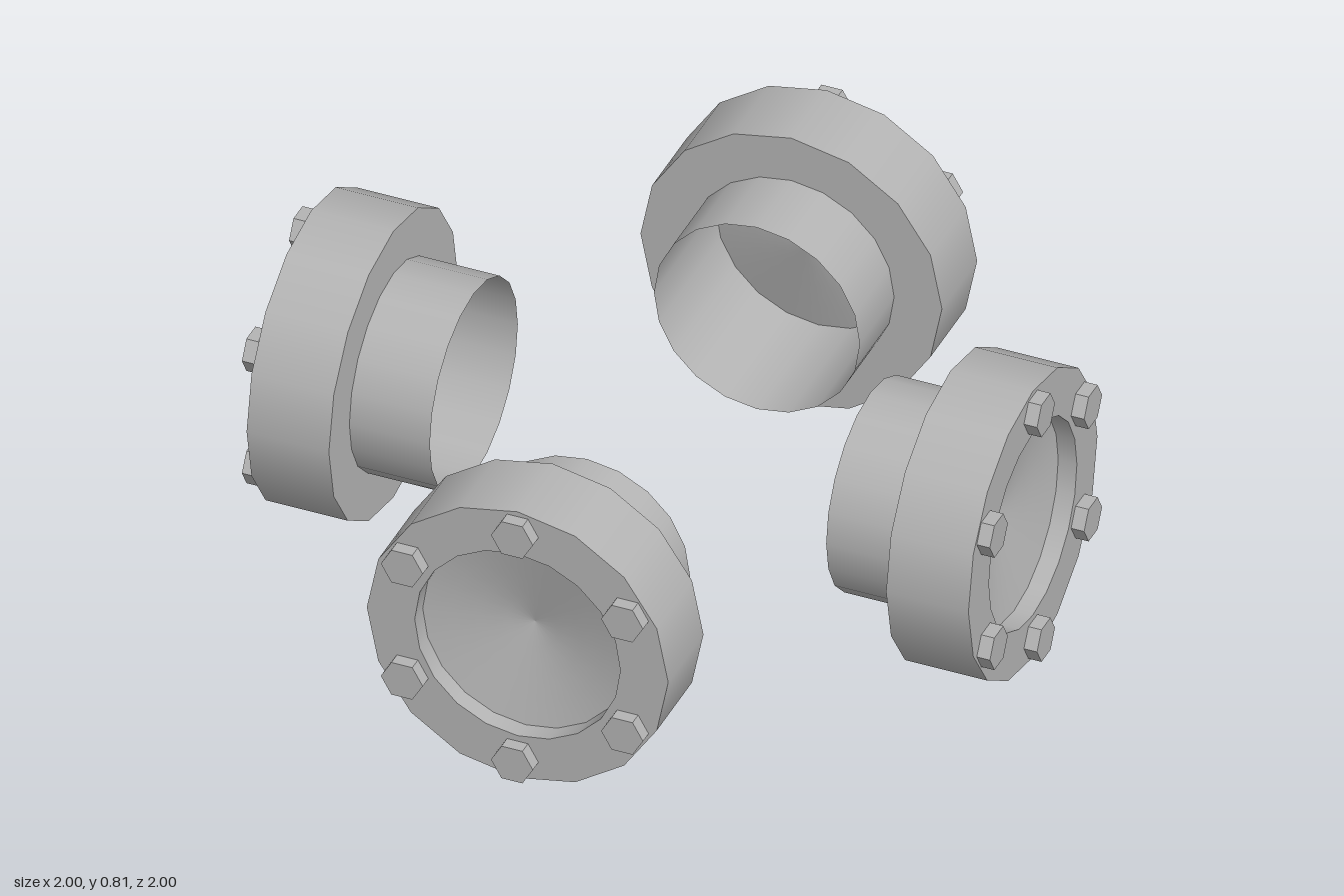
import * as THREE from 'three';
import { toCreasedNormals } from 'three/addons/utils/BufferGeometryUtils.js';

const R = 0.403;          // flange radius, also the height of every axis
const BORE = 0.275;       // neck and bore radius
const BACK = 0.745, FACE = 0.965, NECK_END = 0.53, RECESS = 0.915;
const RIM_SIDES = 16, BORE_SIDES = 20;

// Regular polygon with a corner straight up
function polygon(radius, sides) {
  return Array.from({ length: sides }, (_, i) => {
    const a = Math.PI / 2 + (i / sides) * Math.PI * 2;
    return new THREE.Vector2(Math.cos(a) * radius, Math.sin(a) * radius);
  });
}

// Open tube along z between two positions
function tube(radius, sides, z0, z1) {
  return new THREE.CylinderGeometry(radius, radius, z1 - z0, sides, 1, true)
    .rotateX(Math.PI / 2).translate(0, 0, (z0 + z1) / 2);
}

export function createModel() {
  const steel = new THREE.MeshStandardMaterial({ color: 0xb4b4b4 });
  steel.name = 'steel';
  const thinSteel = steel.clone();
  thinSteel.name = 'thin steel';
  thinSteel.side = THREE.DoubleSide;

  // Flat ring shared by the flange's outer and inner faces
  const ringShape = new THREE.Shape(polygon(R, RIM_SIDES));
  ringShape.holes.push(new THREE.Path(polygon(BORE, BORE_SIDES)));

  const rimGeo = tube(R, RIM_SIDES, BACK, FACE);
  const faceGeo = new THREE.ShapeGeometry(ringShape).translate(0, 0, FACE);
  const backGeo = new THREE.ShapeGeometry(ringShape).rotateY(Math.PI).translate(0, 0, BACK);
  const neckGeo = tube(BORE, BORE_SIDES, NECK_END, FACE);

  // Shallow dished cover, its point towards the middle of the model
  const dish = 0.06;
  const coverGeo = new THREE.ConeGeometry(BORE, dish, BORE_SIDES, 4, true)
    .rotateX(-Math.PI / 2).translate(0, 0, RECESS - dish / 2);

  const boltGeo = toCreasedNormals(
    new THREE.CylinderGeometry(0.056, 0.056, 1 - FACE, 6, 1, false, Math.PI / 2)
      .rotateX(Math.PI / 2), 0.5);

  function createFlange() {
    const flange = new THREE.Group();
    const add = (name, geo, mat) => {
      const mesh = new THREE.Mesh(geo, mat);
      mesh.name = name;
      flange.add(mesh);
      return mesh;
    };
    add('flangeRim', rimGeo, steel);
    add('flangeFace', faceGeo, steel);
    add('flangeBack', backGeo, steel);
    add('neck', neckGeo, thinSteel);
    add('dishedCover', coverGeo, thinSteel);

    // Six hex bolt heads, one at the top
    for (let i = 0; i < 6; i++) {
      const a = Math.PI / 2 + (i * Math.PI) / 3;
      add('bolt', boltGeo, steel)
        .position.set(Math.cos(a) * 0.34, Math.sin(a) * 0.34, (FACE + 1) / 2);
    }
    return flange;
  }

  // Four flanges facing outwards
  const model = new THREE.Group();
  model.name = 'pipeFlanges';
  ['frontFlange', 'leftFlange', 'backFlange', 'rightFlange'].forEach((name, i) => {
    const flange = createFlange();
    flange.name = name;
    flange.position.y = R;
    flange.rotation.y = (i * Math.PI) / 2;
    model.add(flange);
  });
  return model;
}
